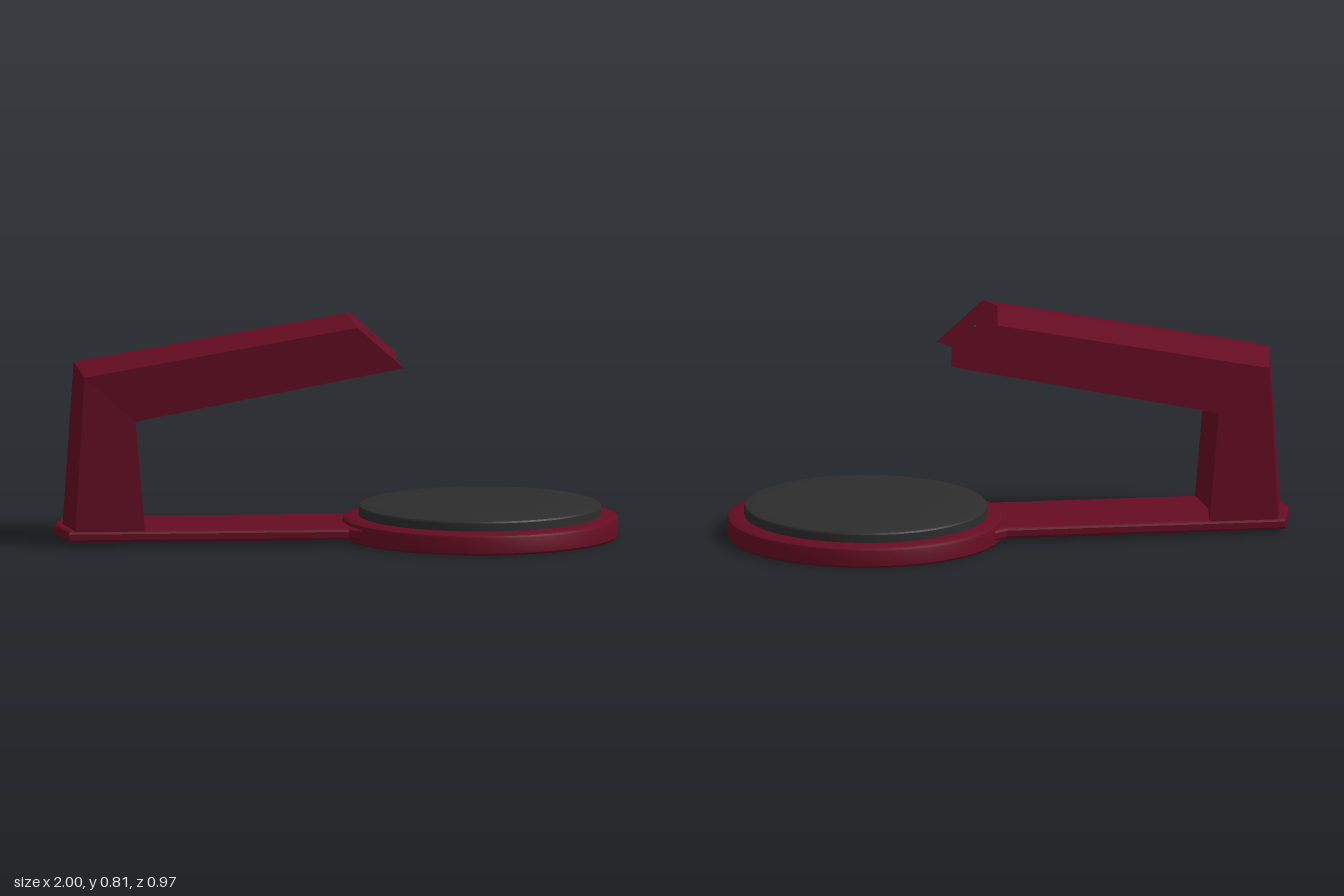
import * as THREE from 'three';
import { toCreasedNormals } from 'three/addons/utils/BufferGeometryUtils.js';

// One cross-section of the arm: V ridge outside, matching V groove inside.
// Each argument is [x, y]; zc is the centre line, w the half width.
function section(ridge, outer, inner, groove, zc, w) {
  return [
    [...ridge, zc], [...outer, zc + w], [...inner, zc + w],
    [...groove, zc], [...inner, zc - w], [...outer, zc - w],
  ];
}

// Joins sections with flat faces and closes the far end.
function loft(sections) {
  const pos = [];
  const tri = (a, b, c) => pos.push(...a, ...b, ...c);
  for (let s = 0; s < sections.length - 1; s++) {
    const a = sections[s], b = sections[s + 1], n = a.length;
    for (let i = 0; i < n; i++) {
      const j = (i + 1) % n;
      tri(a[i], a[j], b[j]);
      tri(a[i], b[j], b[i]);
    }
  }
  const end = sections[sections.length - 1];
  for (let i = 1; i < end.length - 1; i++) tri(end[0], end[i], end[i + 1]);
  const g = new THREE.BufferGeometry();
  g.setAttribute('position', new THREE.Float32BufferAttribute(pos, 3));
  g.computeVertexNormals();
  return g;
}

// Round part turned from a radius/height profile.
function turned(profile) {
  const pts = profile.map(([r, y]) => new THREE.Vector2(r, y));
  return toCreasedNormals(new THREE.LatheGeometry(pts, 40), 0.4);
}

export function createModel() {
  const group = new THREE.Group();
  const red = new THREE.MeshStandardMaterial({ color: 0x650c22 });
  red.name = 'darkRed';
  const grey = new THREE.MeshStandardMaterial({ color: 0x2d2d2d });
  grey.name = 'charcoal';

  const add = (name, geometry, material, x = 0, y = 0, z = 0) => {
    const mesh = new THREE.Mesh(geometry, material);
    mesh.name = name;
    mesh.position.set(x, y, z);
    group.add(mesh);
    return mesh;
  };

  // Column and slightly swivelled overhanging arm, mitred at the elbow
  add('columnAndArm', loft([
    section([-0.97, 0.04], [-0.937, 0.04], [-0.69, 0.04], [-0.71, 0.04], 0, 0.188),
    section([-0.93, 0.635], [-0.905, 0.605], [-0.725, 0.447], [-0.745, 0.467], 0, 0.188),
    section([0.03, 0.806], [0.057, 0.78], [0.22, 0.635], [0.193, 0.66], 0.05, 0.188),
  ]), red);

  // Flat foot strip with pointed back and a flare where it meets the disc
  const half = [[-0.96, 0.193], [0.03, 0.193], [0.08, 0.23], [0.25, 0.23]];
  const outline = [[-1, 0], ...half, ...half.map(([x, y]) => [x, -y]).reverse()];
  const foot = new THREE.ExtrudeGeometry(
    new THREE.Shape(outline.map(([x, y]) => new THREE.Vector2(x, y))),
    { depth: 0.02, bevelEnabled: true, bevelThickness: 0.01, bevelSize: 0.01, bevelOffset: -0.01, bevelSegments: 2 },
  );
  foot.rotateX(-Math.PI / 2);
  add('footStrip', foot, red, 0, 0.027, 0);

  // Round base with softened rim
  add('baseDisc', turned([
    [0, 0], [0.48, 0], [0.487, 0.007], [0.487, 0.06], [0.484, 0.068],
    [0.475, 0.073], [0.44, 0.078], [0, 0.078],
  ]), red, 0.508);

  // Slightly domed pad on the base
  add('pad', turned([
    [0.429, 0.07], [0.429, 0.106], [0.426, 0.112], [0.418, 0.115], [0.35, 0.118], [0, 0.12],
  ]), grey, 0.506);

  // Small dot on the sloping arm tip
  const dot = add('tipDot', new THREE.CylinderGeometry(0.01, 0.01, 0.004, 16), grey, 0.1155, 0.731, 0.05);
  dot.rotation.z = Math.atan2(0.171, 0.19) - Math.PI / 2;

  return group;
}
